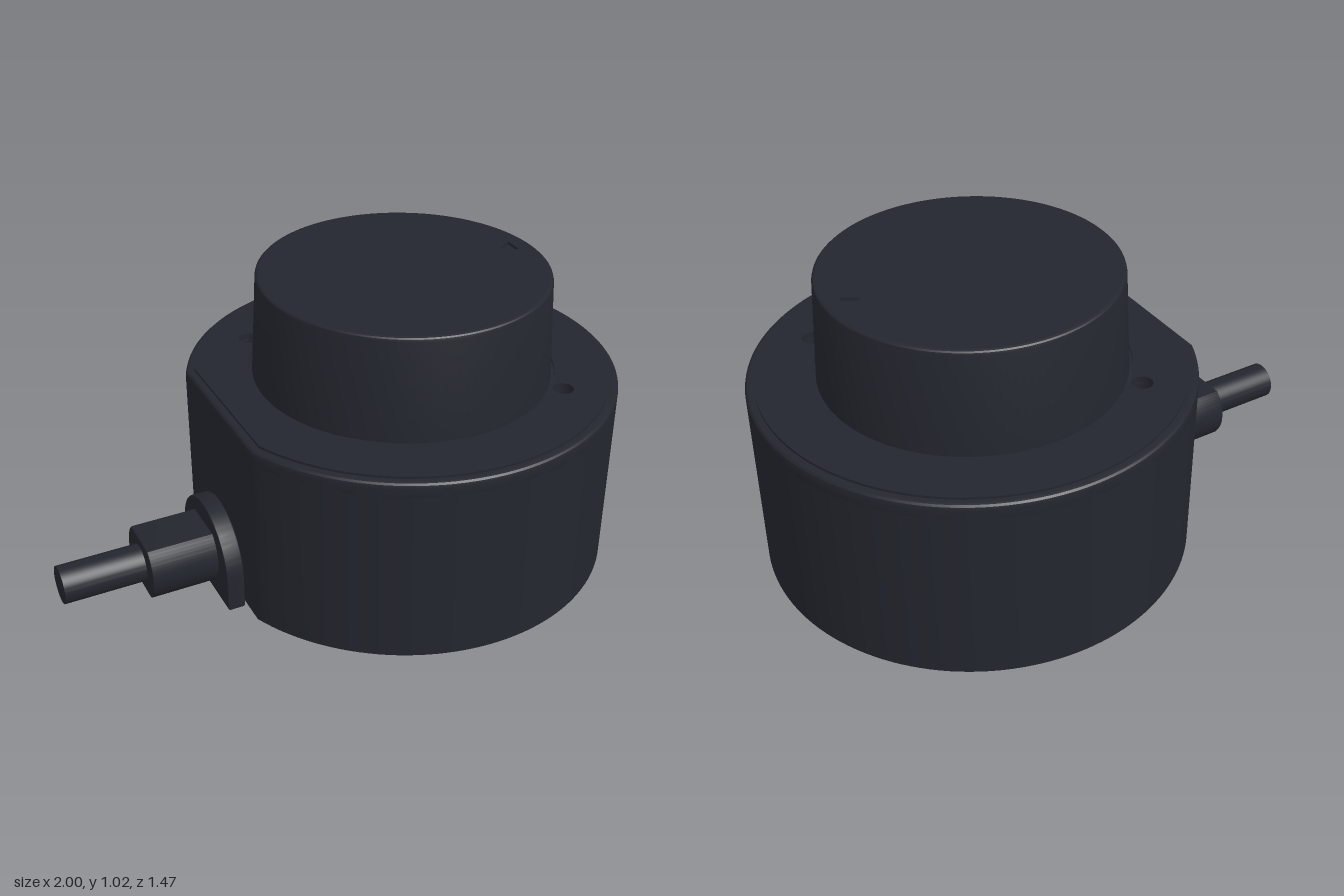
import * as THREE from 'three';
import { toCreasedNormals } from 'three/addons/utils/BufferGeometryUtils.js';

const CX = 0.26; // axis of the round housing
const CABLE_Y = 0.145;
const material = new THREE.MeshStandardMaterial({ color: 0x23262e });

function add(group, name, geometry) {
  const mesh = new THREE.Mesh(toCreasedNormals(geometry, 0.45), material);
  mesh.name = name;
  group.add(mesh);
  return mesh;
}

function circlePath(x, y, r) {
  const path = new THREE.Path();
  path.absarc(x, y, r, 0, Math.PI * 2, true);
  return path;
}

// Disc with one flat on its -x side and two diagonal screw holes
function housingShape(radius, flat) {
  const a = Math.acos(flat / radius);
  const shape = new THREE.Shape();
  shape.absarc(0, 0, radius, -Math.PI + a, Math.PI - a, false);
  shape.closePath();
  for (const s of [-1, 1]) shape.holes.push(circlePath(s * 0.397, -s * 0.397, 0.035));
  return shape;
}

// Extrude a plan shape upwards from y0 to y1
function extrudeUp(shape, y0, y1, bevel = 0) {
  const geometry = new THREE.ExtrudeGeometry(shape, {
    depth: y1 - y0 - 2 * bevel, curveSegments: 64,
    bevelEnabled: bevel > 0, bevelThickness: bevel, bevelSize: bevel, bevelOffset: -bevel, bevelSegments: 3,
  });
  return geometry.rotateX(-Math.PI / 2).translate(0, y0 + bevel, 0);
}

// Extrude a (z, y) shape from x0 towards -x
function extrudeSideways(shape, x0, x1, bevel = 0) {
  const geometry = new THREE.ExtrudeGeometry(shape, {
    depth: x0 - x1 - 2 * bevel, curveSegments: 32,
    bevelEnabled: bevel > 0, bevelThickness: bevel, bevelSize: bevel, bevelOffset: -bevel, bevelSegments: 2,
  });
  return geometry.rotateY(-Math.PI / 2).translate(x0 - bevel, 0, 0);
}

export function createModel() {
  const model = new THREE.Group();

  // Housing: straight wall, rounded upper rim and raised top plate
  const housing = new THREE.Group();
  housing.name = 'housing';
  housing.position.x = CX;
  model.add(housing);
  const body = housingShape(0.737, 0.68);
  add(housing, 'housingWall', extrudeUp(body, 0, 0.645));
  add(housing, 'housingRim', extrudeUp(body, 0.6, 0.664, 0.015));
  const plate = housingShape(0.708, 0.652);
  plate.holes.push(circlePath(0, 0, 0.522));
  add(housing, 'topPlate', extrudeUp(plate, 0.65, 0.672));

  // Tapered knob with a softened top edge
  const knob = new THREE.Group();
  knob.name = 'knob';
  knob.position.x = CX;
  model.add(knob);
  const profile = [
    [0.511, 0.655], [0.492, 1.01], [0.49, 1.017], [0.486, 1.021], [0.479, 1.023],
  ].map(([x, y]) => new THREE.Vector2(x, y));
  add(knob, 'knobSide', new THREE.LatheGeometry(profile, 128));

  // Knob face with a small triangular pointer notch on the +x side
  const face = new THREE.Shape();
  face.absarc(0, 0, 0.479, 0, Math.PI * 2, false);
  const notch = new THREE.Path();
  notch.moveTo(0.37, 0);
  notch.lineTo(0.43, 0.035);
  notch.lineTo(0.43, -0.035);
  notch.closePath();
  face.holes.push(notch);
  add(knob, 'knobFace', extrudeUp(face, 1.0, 1.023));
  const floor = new THREE.CircleGeometry(0.475, 64).rotateX(-Math.PI / 2).translate(0, 1.013, 0);
  add(knob, 'pointerNotchFloor', floor);

  // Cable entry: arched flange standing on the base plane
  const flange = new THREE.Shape();
  flange.moveTo(-0.2, 0);
  flange.lineTo(0.2, 0);
  flange.absarc(0, 0.113, 0.2, 0, Math.PI, false);
  flange.closePath();
  add(model, 'cableFlange', extrudeSideways(flange, -0.428, -0.49, 0.006));

  // Strain relief: round sleeve flattened above and below
  const a = Math.asin(0.095 / 0.125);
  const sleeve = new THREE.Shape();
  sleeve.absarc(0, CABLE_Y, 0.125, -a, a, false);
  sleeve.absarc(0, CABLE_Y, 0.125, Math.PI - a, Math.PI + a, false);
  sleeve.closePath();
  add(model, 'strainRelief', extrudeSideways(sleeve, -0.41, -0.72, 0.005));

  // Cable stub
  const cable = new THREE.CylinderGeometry(0.065, 0.065, 0.3, 48).rotateZ(Math.PI / 2);
  add(model, 'cable', cable.translate(-0.85, CABLE_Y, 0));

  return model;
}
